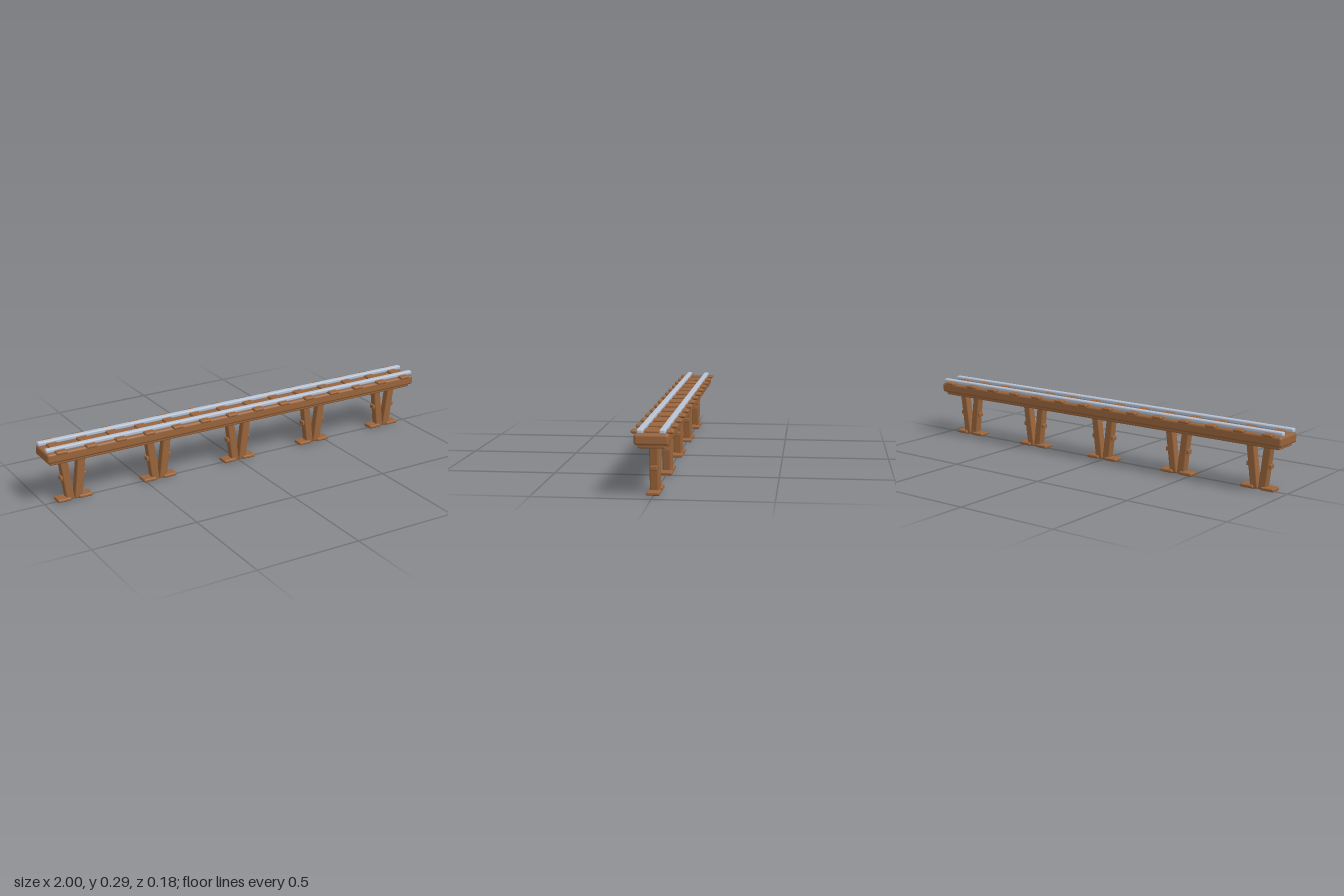
import * as THREE from 'three';
import { RoundedBoxGeometry } from 'three/addons/geometries/RoundedBoxGeometry.js';

export function createModel() {
  const model = new THREE.Group();
  model.name = 'railwayTrestle';
  const wood = new THREE.MeshStandardMaterial({ name: 'wood', color: 0x99643b });
  const steel = new THREE.MeshStandardMaterial({ name: 'steel', color: 0xb6c2d4 });

  // Rounded block centred on (x, y, z)
  function block(parent, name, material, size, position, radius, tilt = 0) {
    const mesh = new THREE.Mesh(new RoundedBoxGeometry(...size, 3, radius), material);
    mesh.name = name;
    mesh.position.set(...position);
    mesh.rotation.z = tilt;
    parent.add(mesh);
  }

  // Deck and the narrower beam below it
  block(model, 'deck', wood, [2, 0.047, 0.142], [0, 0.2445, 0], 0.011);
  block(model, 'underBeam', wood, [1.97, 0.026, 0.114], [0, 0.22, 0], 0.006);

  // Cross ties
  const ties = 14;
  for (let i = 0; i < ties; i++) {
    const x = -0.937 + (1.874 * i) / (ties - 1);
    block(model, 'tie', wood, [0.052, 0.014, 0.176], [x, 0.271, 0], 0.006);
  }

  // Rails
  for (const side of [-1, 1]) {
    block(model, side > 0 ? 'frontRail' : 'backRail', steel,
      [2, 0.02, 0.026], [0, 0.278, side * 0.046], 0.007);
  }

  // Five V-shaped supports, each leg with its own cleat and foot pad
  const top = 0.046, bottom = 0.019, height = 0.215;
  const tilt = Math.atan2(top - bottom, height);
  for (let i = -2; i <= 2; i++) {
    const support = new THREE.Group();
    support.name = 'support';
    support.position.x = i * 0.43;
    for (const side of [-1, 1]) {
      block(support, 'leg', wood, [0.038, 0.216, 0.037],
        [side * (top + bottom) / 2, 0.1105, 0], 0.006, -side * tilt);
      block(support, 'cleat', wood, [0.044, 0.021, 0.03], [side * 0.041, 0.114, 0], 0.004);
      block(support, 'footPad', wood, [0.066, 0.016, 0.056], [side * 0.052, 0.012, 0], 0.006);
    }
    model.add(support);
  }

  return model;
}
